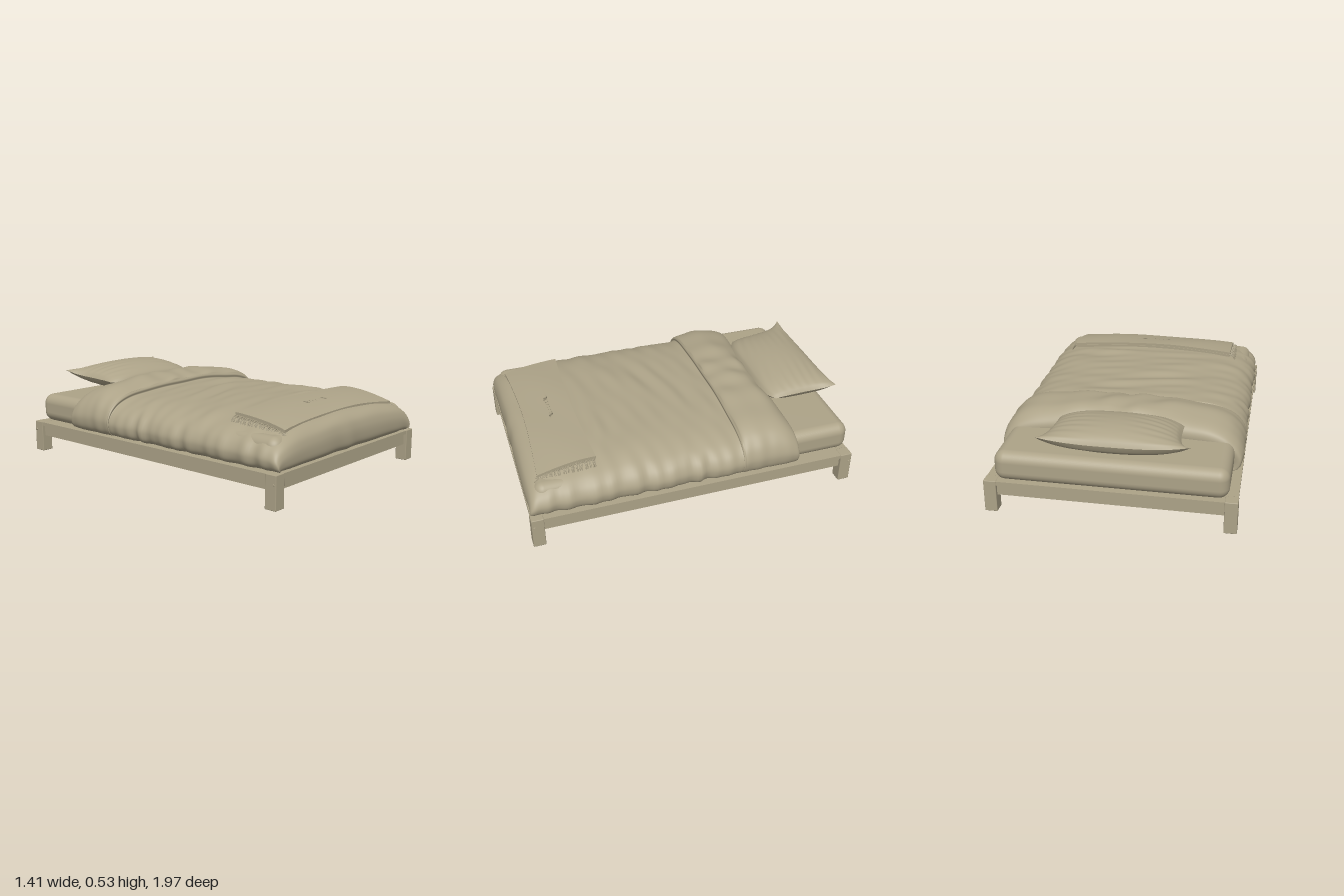
import * as THREE from 'three';
import { mergeGeometries } from 'three/addons/utils/BufferGeometryUtils.js';
import { RoundedBoxGeometry } from 'three/addons/geometries/RoundedBoxGeometry.js';

const linen = new THREE.MeshStandardMaterial({ color: 0xada388, side: THREE.DoubleSide });
linen.name = 'linen beige';

const { sin, cos, abs, sqrt, PI } = Math;
const BASE = 0.187; // top of the bed frame

function add(parent, name, geometry, x = 0, y = 0, z = 0) {
  const mesh = new THREE.Mesh(geometry, linen);
  mesh.name = name;
  mesh.position.set(x, y, z);
  parent.add(mesh);
  return mesh;
}

// Smooth sheet whose points follow f(u, v); faces out along du x dv
function sheet(nu, nv, f) {
  const g = new THREE.PlaneGeometry(1, 1, nu, nv);
  const p = g.attributes.position, uv = g.attributes.uv;
  for (let i = 0; i < p.count; i++) p.setXYZ(i, ...f(uv.getX(i), uv.getY(i)));
  g.computeVertexNormals();
  return g;
}

function spline(points) {
  return new THREE.CatmullRomCurve3(points.map(([a, b, c = 0]) => new THREE.Vector3(a, b, c)));
}

function makeFrame() {
  const frame = new THREE.Group();
  frame.name = 'frame';
  for (const s of [-1, 1]) {
    for (const z of [0.955, -0.93]) {
      add(frame, 'leg', new RoundedBoxGeometry(0.072, 0.19, 0.072, 1, 0.004), s * 0.663, 0.095, z);
      const bolt = add(frame, 'bolt', new THREE.CylinderGeometry(0.006, 0.008, 0.006, 10), s * 0.7, 0.137, z + 0.02 * Math.sign(z));
      bolt.rotation.z = -s * PI / 2;
    }
    // Rails sit slightly behind the upper ledge
    add(frame, 'sideRail', new THREE.BoxGeometry(0.03, 0.07, 1.82), s * 0.665, 0.135, 0.012);
    add(frame, 'endRail', new THREE.BoxGeometry(1.27, 0.07, 0.03), 0, 0.135, 0.012 + s * 0.945);
    add(frame, 'sideLedge', new THREE.BoxGeometry(0.06, 0.022, 1.82), s * 0.666, 0.177, 0.012);
    add(frame, 'endLedge', new THREE.BoxGeometry(1.27, 0.022, 0.06), 0, 0.177, 0.012 + s * 0.945);
  }
  add(frame, 'platform', new THREE.BoxGeometry(1.29, 0.02, 1.86), 0, 0.177, 0.012);
  return frame;
}

function makeDuvet() {
  // Half section as fractions of half width and height, from hem to middle
  const half = [[0.93, 0], [0.975, 0.07], [1, 0.28], [0.985, 0.45], [0.94, 0.62], [0.86, 0.77],
    [0.72, 0.89], [0.5, 0.96], [0.25, 0.99]];
  const section = spline([...half.map(([x, y]) => [-x, y]), [0, 1], ...half.slice().reverse()]);
  // Rows along the bed: z, top height, half width
  const rows = spline([
    [0.955, 0.19, 0.62], [0.98, 0.215, 0.645], [0.988, 0.26, 0.66], [0.985, 0.31, 0.668], [0.968, 0.355, 0.675],
    [0.93, 0.387, 0.683], [0.87, 0.402, 0.688], [0.75, 0.415, 0.69], [0.6, 0.424, 0.69], [0.45, 0.428, 0.69],
    [0.3, 0.43, 0.688], [0.15, 0.43, 0.688], [0, 0.43, 0.688], [-0.13, 0.43, 0.688], [-0.24, 0.428, 0.686],
    [-0.268, 0.43, 0.686], [-0.266, 0.45, 0.692], [-0.285, 0.468, 0.697], [-0.34, 0.482, 0.698], [-0.43, 0.49, 0.698],
    [-0.51, 0.478, 0.698], [-0.565, 0.452, 0.695], [-0.6, 0.42, 0.688], [-0.612, 0.385, 0.675], [-0.604, 0.345, 0.64], [-0.57, 0.32, 0.62],
  ]);
  return sheet(110, 200, (u, v) => {
    const s = section.getPoint(u), r = rows.getPoint(v);
    let x = s.x * r.z, y = BASE + s.y * (r.y - BASE), z = r.x;
    const side = Math.min(1, Math.max(0, (abs(s.x) - 0.75) * 5));
    const fold = z < -0.275 ? 1 : 0;
    const body = Math.min(1, v * 6) * Math.min(1, (1 - v) * 8);
    // Crosswise creases on the bed, slanting ones on the turned-down fold
    const crease = fold
      ? sin(19 * x + 17 * z + 2 * sin(6 * x)) * cos(9 * x - 13 * z)
      : sin(27 * z + 2.2 * sin(5 * x + 1) + 1.5 * sin(11 * z)) * (0.55 + 0.45 * cos(7 * x + 9 * z))
        + 0.4 * sin(55 * z + 9 * x) * sin(8 * x + 3);
    y += s.y * body * (fold ? 0.008 : z > 0.55 ? 0.003 : 0.007) * crease;
    // Gathers down the sides and the foot
    const gather = sin(33 * z + 1.5 * sin(17 * z) + 5 * y) + 0.4 * sin(71 * z + 8 * y);
    x += Math.sign(x) * side * body * (fold ? 0.002 : 0.007) * gather;
    if (v < 0.2) z += 0.005 * (1 - v * 5) * sin(16 * x + 2 * sin(9 * x) + 9 * y);
    // The turned edge lies further up the bed near the sides
    if (z < -0.5) z += (0.03 - 0.04 * Math.min(1, abs(x) / 0.6)) * Math.min(1, (-0.5 - z) * 10);
    return [x, y, z];
  });
}

function makePillow() {
  const face = (dir) => sheet(48, 36, (u, v) => {
    const a = dir * (2 * u - 1), b = 2 * v - 1;
    const s = (a + 1) / 2;
    // Corners joined by inward-curving side edges
    const xl = -0.365 - 0.075 * Math.pow(v, 4), xr = 0.345 + 0.045 * Math.pow(v, 4);
    const x = xl + (xr - xl) * s;
    const zFront = -0.545 - 0.06 * Math.pow(abs(a), 5);
    const zBack = -0.97 + 0.01 * a * a - 0.02 * Math.pow(s, 4);
    const z = zFront + (zBack - zFront) * v;
    const puff = sqrt(Math.max(0, (1 - a * a) * (1 - b * b)));
    const seam = 0.437 + 0.025 * v + 0.03 * Math.pow(abs(a * b), 3) * v;
    const crease = 0.005 * sin(24 * b + 5 * a) * a * a * (1 - a * a) * 3;
    return [x, seam + dir * puff * (dir > 0 ? 0.082 : 0.092) + crease * puff, z];
  });
  return mergeGeometries([face(1), face(-1)]);
}

// Height of the throw where it lies on the duvet
const throwY = (x, z) => 0.446 - 0.022 * Math.pow(abs(x) / 0.54, 2.5)
  - 0.055 * Math.pow(Math.max(0, (z - 0.57) / 0.35), 2) + 0.002 * sin(9 * x + 14 * z);

function makeThrow() {
  const group = new THREE.Group();
  group.name = 'throw';
  const layer = (name, w, d, z0, drop) => {
    const g = new THREE.BoxGeometry(w, 0.015, d, 40, 1, 14);
    const p = g.attributes.position;
    for (let i = 0; i < p.count; i++) {
      const x = p.getX(i) + 0.01, bow = cos(x * 2.8);
      const z = p.getZ(i) + z0 + bow * 0.025 * (p.getZ(i) < 0 ? 1 : -1);
      p.setXYZ(i, x, p.getY(i) + throwY(x, z) - drop, z);
    }
    g.computeVertexNormals();
    add(group, name, g);
  };
  layer('throwTop', 1.07, 0.34, 0.745, 0);
  layer('throwUnderside', 1.06, 0.345, 0.752, 0.018);

  // Fringe strands as thin drooping tubes
  const strands = [];
  const strand = (x, z, dx, dz, k) => {
    const y = throwY(x, z) - 0.01, sway = 0.006 * sin(k * 2.4);
    const path = spline([[x, y, z], [x + dx * 0.6 + sway * dz * 20, y - 0.008, z + dz * 0.6 + sway],
      [x + dx, y - 0.038 - 0.006 * sin(k * 1.7), z + dz + sway]]);
    strands.push(new THREE.TubeGeometry(path, 4, 0.0032, 5));
  };
  for (let k = 0; k < 36; k++) {
    const z = 0.58 + k * 0.0095;
    strand(-0.522, z, -0.038, 0, k);
    strand(0.542, z, 0.032, 0, k + 3);
  }
  for (let k = 0; k < 24; k++) strand(-0.545 + k * 0.0092, 0.91, 0, 0.022, k);
  for (let k = 0; k < 12; k++) strand(0.455 + k * 0.0095, 0.91, 0, 0.022, k);
  add(group, 'fringe', mergeGeometries(strands));
  return group;
}

export function createModel() {
  const bed = new THREE.Group();
  bed.name = 'bed';
  bed.add(makeFrame());
  add(bed, 'mattress', new RoundedBoxGeometry(1.29, 0.174, 1.91, 5, 0.06), -0.003, BASE + 0.087, -0.005);
  add(bed, 'duvet', makeDuvet());
  add(bed, 'pillow', makePillow());
  bed.add(makeThrow());
  return bed;
}
